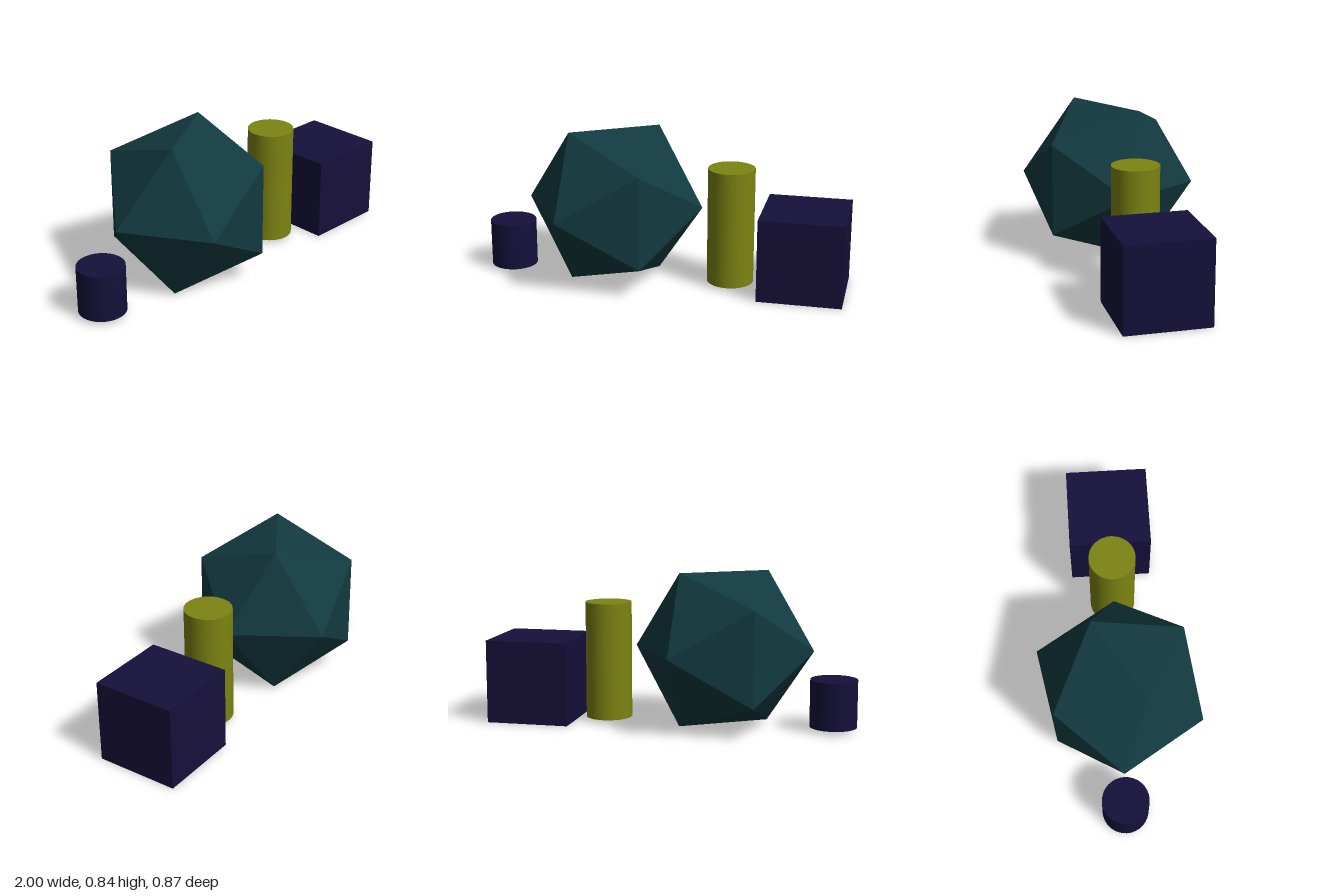
import * as THREE from 'three';

const paint = (color, flatShading = false) => new THREE.MeshStandardMaterial({ color, flatShading });

export function createModel() {
  const model = new THREE.Group();
  const navy = paint(0x15103a);

  const add = (name, geometry, material, x, y) => {
    const mesh = new THREE.Mesh(geometry, material);
    mesh.name = name;
    mesh.position.set(x, y, 0);
    model.add(mesh);
  };

  // Two upright cylinders of equal radius
  const radius = 0.127;
  add('shortCylinder', new THREE.CylinderGeometry(radius, radius, 0.257, 32), navy, -0.873, 0.149);
  add('tallCylinder', new THREE.CylinderGeometry(radius, radius, 0.64, 32), paint(0x7d8412), 0.368, 0.34);

  // Cube
  add('cube', new THREE.BoxGeometry(0.455, 0.455, 0.455), navy, 0.7725, 0.2275);

  // Icosahedron turned so two opposite corners lie on the x axis
  const ico = new THREE.IcosahedronGeometry(0.487, 0);
  ico.rotateZ(-Math.atan((1 + Math.sqrt(5)) / 2));
  ico.rotateX(-Math.PI / 2);
  add('icosahedron', ico, paint(0x123a40, true), -0.277, 0.425);

  return model;
}
